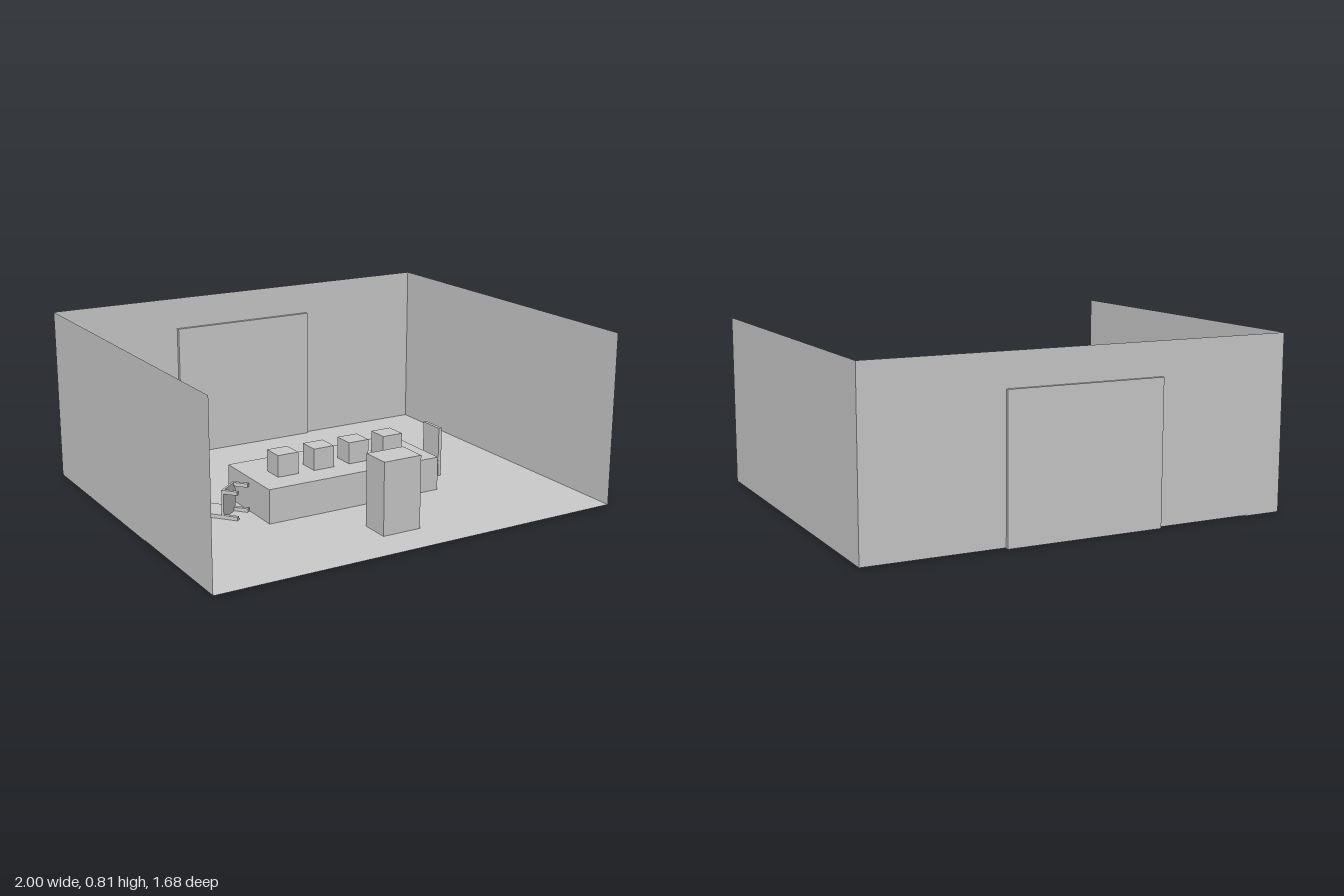
import * as THREE from 'three';

const solid = new THREE.MeshStandardMaterial({ color: 0xcccccc, flatShading: true });
const sheet = new THREE.MeshStandardMaterial({ color: 0xcccccc, flatShading: true, side: THREE.DoubleSide });

const FLOOR = 0.005;
const WALL_TOP = 0.81;
const BACK = -0.83;
const FRONT = 0.84;

// Box given by its extents along each axis
function box(name, [x0, x1], [y0, y1], [z0, z1]) {
  const mesh = new THREE.Mesh(new THREE.BoxGeometry(x1 - x0, y1 - y0, z1 - z0), solid);
  mesh.position.set((x0 + x1) / 2, (y0 + y1) / 2, (z0 + z1) / 2);
  mesh.name = name;
  return mesh;
}

// Thin two-sided panel
function panel(name, width, height, position, rotation) {
  const mesh = new THREE.Mesh(new THREE.PlaneGeometry(width, height), sheet);
  mesh.position.set(...position);
  mesh.rotation.set(...rotation);
  mesh.name = name;
  return mesh;
}

// Chair with its back at x = 0, facing -x, feet at y = 0
function chair(name) {
  const g = new THREE.Group();
  g.name = name;
  const depth = 0.135, half = 0.065, leg = 0.017;
  g.add(box('seat', [-depth, 0], [0.067, 0.077], [-half, half]));
  g.add(box('backrest', [-leg, 0], [0.077, 0.243], [-half, half]));
  for (const x of [-depth, -leg]) {
    for (const z of [-half, half - leg]) {
      g.add(box('chairLeg', [x, x + leg], [0, 0.067], [z, z + leg]));
    }
  }
  return g;
}

export function createModel() {
  const room = new THREE.Group();
  room.name = 'room';

  // Floor and three walls, open at the front
  const depth = FRONT - BACK, midZ = (FRONT + BACK) / 2;
  const height = WALL_TOP - FLOOR, midY = (WALL_TOP + FLOOR) / 2;
  room.add(panel('floor', 2, depth, [0, FLOOR, midZ], [-Math.PI / 2, 0, 0]));
  room.add(panel('backWall', 2, height, [0, midY, BACK], [0, 0, 0]));
  for (const s of [-1, 1]) {
    room.add(panel(s > 0 ? 'leftWall' : 'rightWall', depth, height, [s, midY, midZ], [0, -s * Math.PI / 2, 0]));
  }

  // Wide door set through the back wall
  room.add(box('door', [-0.37, 0.365], [0.002, 0.657], [-0.845, -0.812]));

  // Cabinets along the side wall
  const cabinetX = [-0.998, -0.81];
  room.add(box('tallCabinet', cabinetX, [0, 0.556], [-0.825, -0.465]));
  room.add(box('tallCabinet', cabinetX, [0, 0.556], [-0.46, -0.102]));
  room.add(box('lowCabinet', cabinetX, [0, 0.325], [-0.098, 0.17]));

  // Long table with four boxes on it
  room.add(box('table', [-0.45, 0.445], [FLOOR, 0.165], [-0.125, 0.275]));
  for (let i = 0; i < 4; i++) {
    const x = -0.285 + i * 0.186;
    room.add(box('tableBox', [x - 0.052, x + 0.052], [0.165, 0.267], [0.045, 0.149]));
  }

  // Free-standing pedestal at the front
  room.add(box('pedestal', [-0.097, 0.091], [FLOOR, 0.341], [0.51, 0.652]));

  // Chair standing at the end of the table
  const standing = chair('standingChair');
  standing.position.set(0.577, 0.002, 0.051);
  room.add(standing);

  // Chair fallen onto its back
  const tipped = chair('fallenChair');
  tipped.rotation.set(0, 2.26, -Math.PI / 2, 'YXZ');
  tipped.position.set(-0.505, 0.006, 0.131);
  room.add(tipped);

  return room;
}
